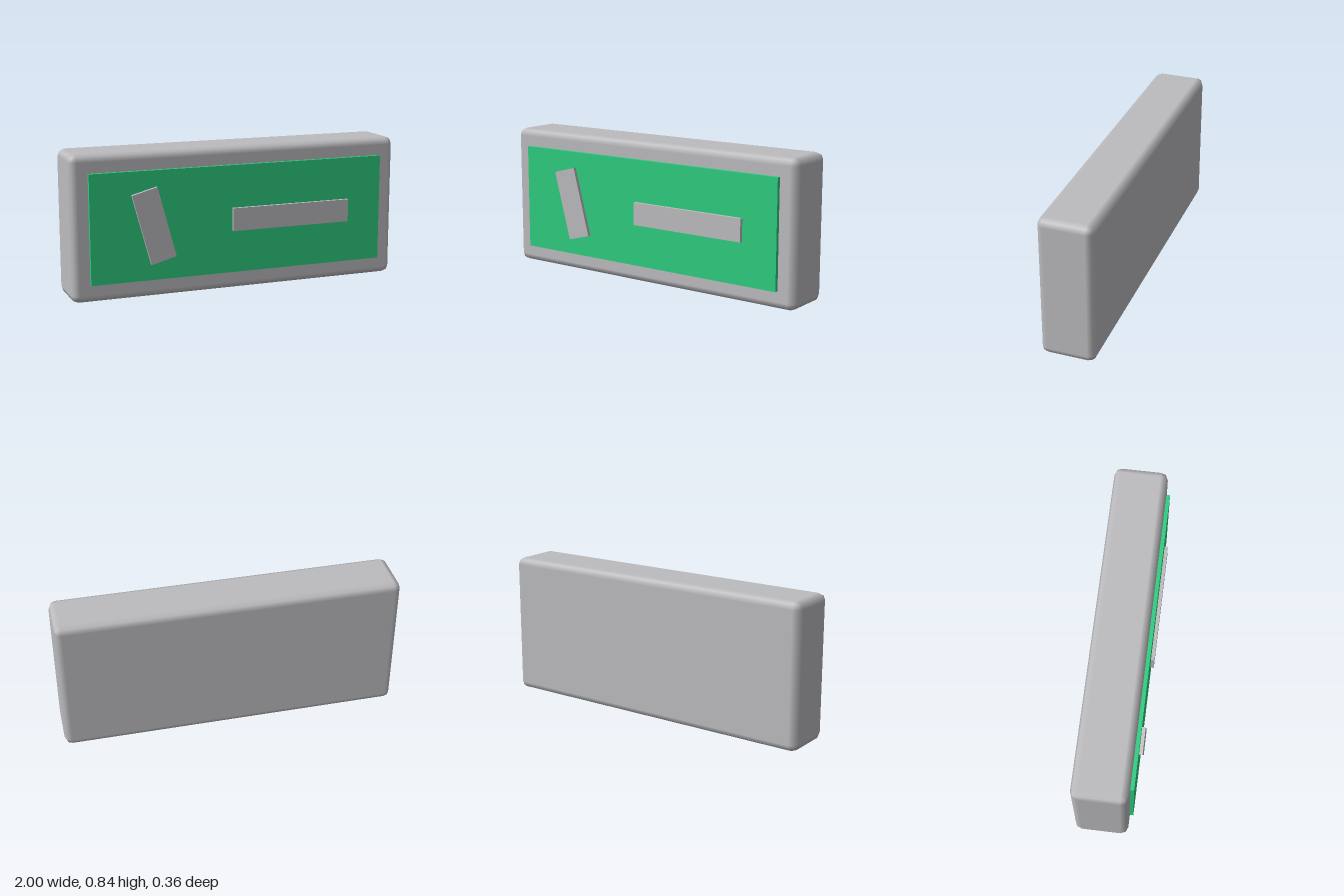
import * as THREE from 'three';
import { RoundedBoxGeometry } from 'three/addons/geometries/RoundedBoxGeometry.js';

export function createModel() {
  const model = new THREE.Group();
  model.name = 'signBox';

  const grey = new THREE.MeshStandardMaterial({ color: 0xbcbcbf });
  grey.name = 'light grey';
  const green = new THREE.MeshStandardMaterial({ color: 0x2ecc80 });
  green.name = 'green';

  function add(name, geometry, material, x, y, z, tilt = 0) {
    const mesh = new THREE.Mesh(geometry, material);
    mesh.name = name;
    mesh.position.set(x, y, z);
    mesh.rotation.z = tilt;
    model.add(mesh);
  }

  // Housing with softly rounded edges
  add('housing', new RoundedBoxGeometry(2, 0.843, 0.316, 1, 0.043), grey, 0, 0.4215, -0.02);

  // Raised front panel
  add('frontPanel', new THREE.BoxGeometry(1.794, 0.631, 0.04), green, 0, 0.4225, 0.14);

  // Bars on the panel: one tilted, one level
  add('tiltedBar', new THREE.BoxGeometry(0.153, 0.42, 0.03), grey, -0.53, 0.4225, 0.165, Math.PI / 12);
  add('levelBar', new THREE.BoxGeometry(0.734, 0.134, 0.03), grey, 0.312, 0.4225, 0.165);

  return model;
}
